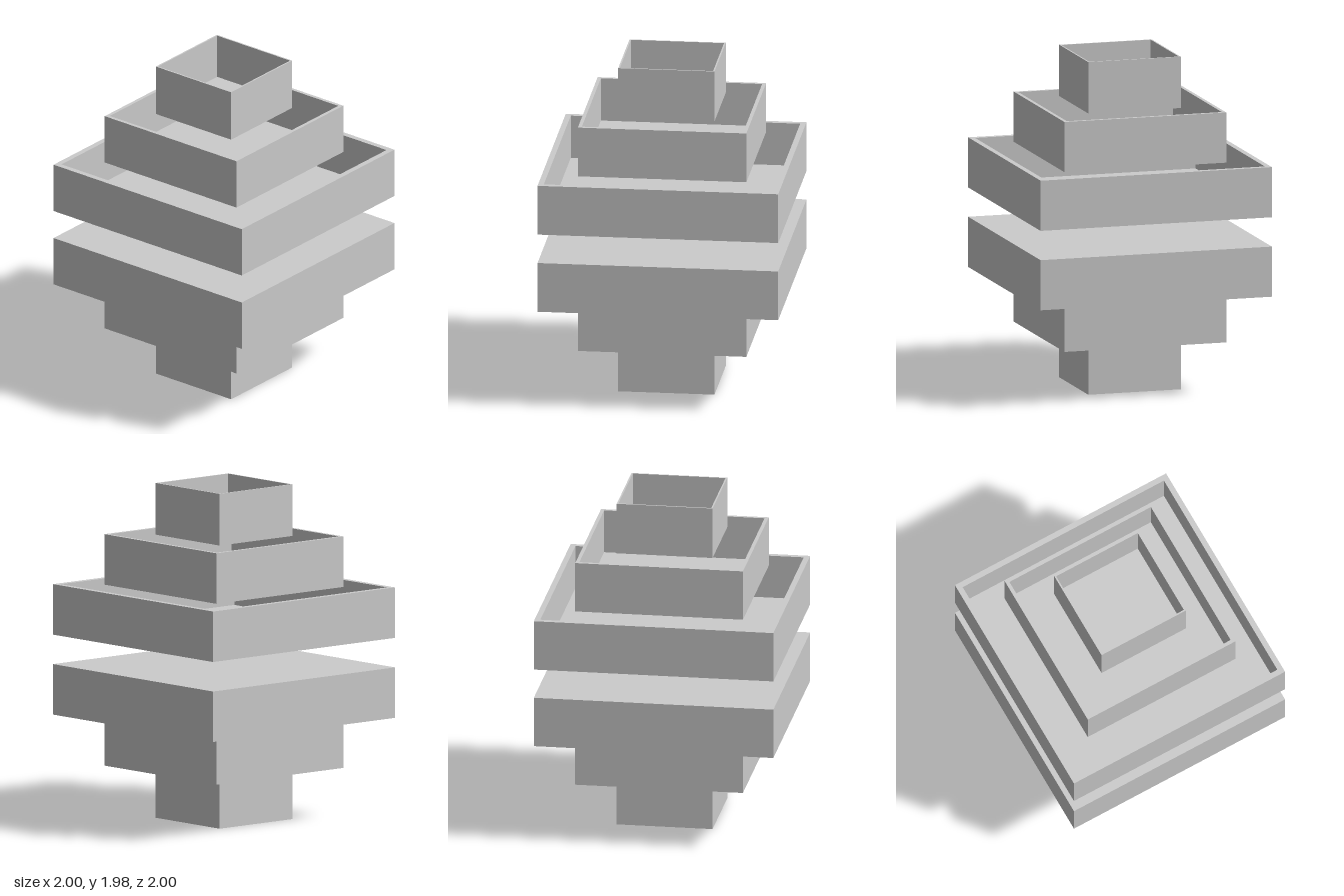
import * as THREE from 'three';

const material = new THREE.MeshStandardMaterial({ color: 0xcccccc, flatShading: true });

// Open square tray: floor, four thin walls; corners lie on the x and z axes
function tray(name, radius, wall, floor, height) {
  const inner = radius - wall;
  const profile = [
    [0, 0], [radius, 0], [radius, height], [inner, height], [inner, floor], [0, floor],
  ].map(([x, y]) => new THREE.Vector2(x, y));
  const geometry = new THREE.LatheGeometry(profile, 4).toNonIndexed();
  geometry.computeVertexNormals();
  const mesh = new THREE.Mesh(geometry, material);
  mesh.name = name;
  return mesh;
}

// Three trays of shrinking size, one above the other
function traySet(name) {
  const set = new THREE.Group();
  set.name = name;
  const tiers = [
    ['largeTray', 1.0, 0.047, 0.04, 0.087, 0.385],
    ['middleTray', 0.7, 0.03, 0.04, 0.385, 0.683],
    ['smallTray', 0.4, 0.013, 0.04, 0.683, 0.988],
  ];
  for (const [part, radius, wall, floor, bottom, top] of tiers) {
    const mesh = tray(part, radius, wall, floor, top - bottom);
    mesh.position.y = bottom;
    set.add(mesh);
  }
  return set;
}

export function createModel() {
  const model = new THREE.Group();
  model.name = 'steppedTrays';

  // Upper set opens upward, lower set is turned over and opens downward
  const upper = traySet('upperTrays');
  const lower = traySet('lowerTrays');
  lower.rotation.x = Math.PI;
  upper.position.y = lower.position.y = 0.988;
  model.add(upper, lower);
  return model;
}
